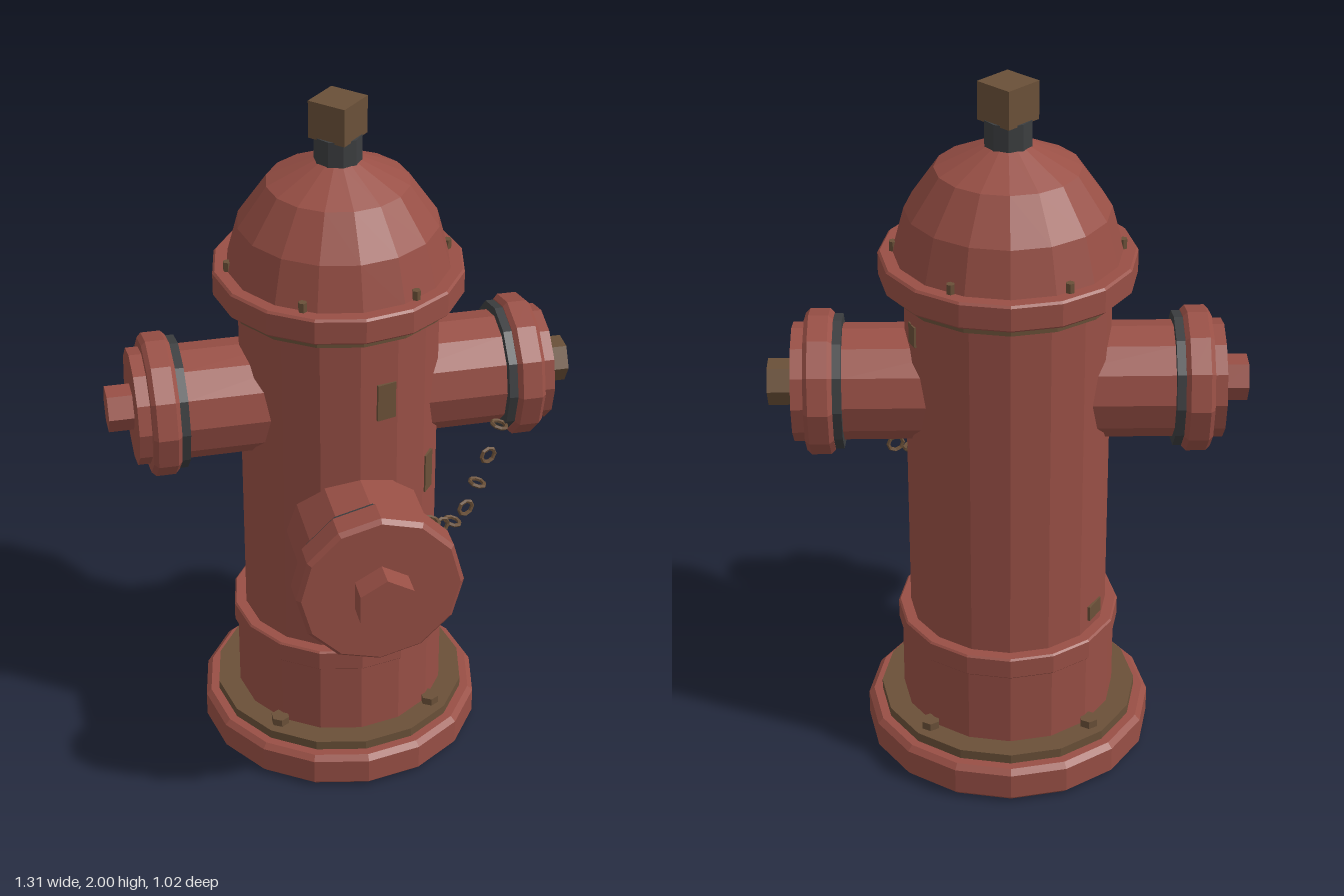
import * as THREE from 'three';

const mat = (name, color) => {
  const m = new THREE.MeshStandardMaterial({ color, flatShading: true });
  m.name = name;
  return m;
};

export function createModel() {
  const red = mat('red paint', 0x984f45);
  const brass = mat('aged brass', 0x6a5038);
  const dark = mat('dark rubber', 0x3c3e40);

  const model = new THREE.Group();
  model.name = 'hydrant';
  const barrel = new THREE.Group(); // everything centred on the barrel axis
  barrel.name = 'barrel';
  barrel.position.z = -0.1;
  model.add(barrel);

  const add = (parent, name, geometry, material, x = 0, y = 0, z = 0) => {
    const mesh = new THREE.Mesh(geometry, material);
    mesh.name = name;
    mesh.position.set(x, y, z);
    parent.add(mesh);
    return mesh;
  };
  // Turned part from [radius, height] pairs, bottom to top
  const turned = (parent, name, profile, material, sides) =>
    add(parent, name, new THREE.LatheGeometry(profile.map(p => new THREE.Vector2(...p)), sides), material);
  // Solid disc from y0 to y1 with chamfered rims
  const disc = (parent, name, r, y0, y1, material, sides = 16, c = 0) =>
    turned(parent, name, c
      ? [[0, y0], [r - c, y0], [r, y0 + c], [r, y1 - c], [r - c, y1], [0, y1]]
      : [[0, y0], [r, y0], [r, y1], [0, y1]], material, sides);

  // Base and barrel
  disc(barrel, 'baseFlange', 0.41, 0, 0.105, red, 16, 0.015);
  disc(barrel, 'baseGasket', 0.37, 0.1, 0.133, brass);
  disc(barrel, 'lowerBarrel', 0.305, 0.13, 0.36, red);
  disc(barrel, 'barrelRing', 0.315, 0.355, 0.42, red, 16, 0.005);
  disc(barrel, 'upperBarrel', 0.28, 0.41, 1.435, red);

  // Bonnet
  disc(barrel, 'bonnetGasket', 0.315, 1.428, 1.455, brass);
  disc(barrel, 'bonnetFlange', 0.347, 1.453, 1.528, red, 16, 0.006);
  turned(barrel, 'bonnet',
    [[0.31, 1.52], [0.275, 1.65], [0.195, 1.765], [0.06, 1.83], [0, 1.83]], red, 16);
  disc(barrel, 'stem', 0.065, 1.81, 1.9, dark, 10);
  disc(barrel, 'operatingNut', 0.08, 1.895, 2, brass, 4);

  // Bolts
  const bolts = (name, count, start, radius, size, y, h) => {
    for (let i = 0; i < count; i++) {
      const a = start + (i / count) * Math.PI * 2;
      add(barrel, name, new THREE.CylinderGeometry(size, size, h, 6), brass,
        Math.cos(a) * radius, y, Math.sin(a) * radius);
    }
  };
  bolts('baseBolt', 4, Math.PI / 4, 0.32, 0.027, 0.143, 0.026);
  bolts('bonnetBolt', 6, 0, 0.305, 0.012, 1.54, 0.03);

  // Outlets, built along +y and then turned outward
  const outlet = (name, y, rx, rz, neck, gasket, cap, end, nut) => {
    const g = new THREE.Group();
    g.name = name;
    g.position.y = y;
    g.rotation.set(rx, 0, rz);
    barrel.add(g);
    disc(g, 'neck', neck[0], 0.1, neck[1], red, 12);
    disc(g, 'capGasket', gasket, neck[1] - 0.002, neck[1] + 0.027, dark, 12);
    disc(g, 'cap', cap[0], neck[1] + 0.022, cap[1], red, 12, 0.012);
    if (end) disc(g, 'capEnd', end[0], cap[1] - 0.01, end[1], red, 12);
    disc(g, 'capNut', nut[0], (end || cap)[1] - 0.01, nut[1], nut[2], 6);
  };
  for (const s of [-1, 1]) {
    outlet(s > 0 ? 'leftOutlet' : 'rightOutlet', 1.135, 0, -s * Math.PI / 2,
      [0.16, 0.45], 0.185, [0.2, 0.55], [0.163, 0.585], [0.064, 0.655, s > 0 ? brass : red]);
  }
  outlet('frontOutlet', 0.795, Math.PI / 2, 0,
    [0.193, 0.425], 0.21, [0.233, 0.54], null, [0.085, 0.61, red]);

  // Bare patches in the paint: angle from front, height, width, tallness
  for (const [deg, y, w, h] of [
    [15.5, 1.225, 0.055, 0.11], [-20, 0.56, 0.075, 0.05], [52, 0.92, 0.045, 0.12],
    [113, 1.33, 0.04, 0.06], [240, 0.47, 0.065, 0.045],
  ]) {
    const a = THREE.MathUtils.degToRad(deg);
    const patch = add(barrel, 'barePatch', new THREE.BoxGeometry(w, h, 0.009), brass,
      Math.sin(a) * 0.277, y, Math.cos(a) * 0.277);
    patch.rotation.y = a;
  }

  // Cap chain hanging between the left and front outlets
  const chain = new THREE.Group();
  chain.name = 'chain';
  model.add(chain);
  const link = new THREE.TorusGeometry(0.022, 0.006, 5, 8);
  [[0.43, 1.03, 0.05], [0.395, 0.945, 0.07], [0.36, 0.87, 0.09], [0.32, 0.81, 0.12],
    [0.275, 0.787, 0.145], [0.235, 0.8, 0.175], [0.2, 0.835, 0.2]].forEach((p, i) => {
    const mesh = add(chain, 'chainLink', link, brass, ...p);
    mesh.rotation.set(i % 2 ? 0 : Math.PI / 2, i % 2 ? 0.3 : -0.3, 0);
  });

  return model;
}
